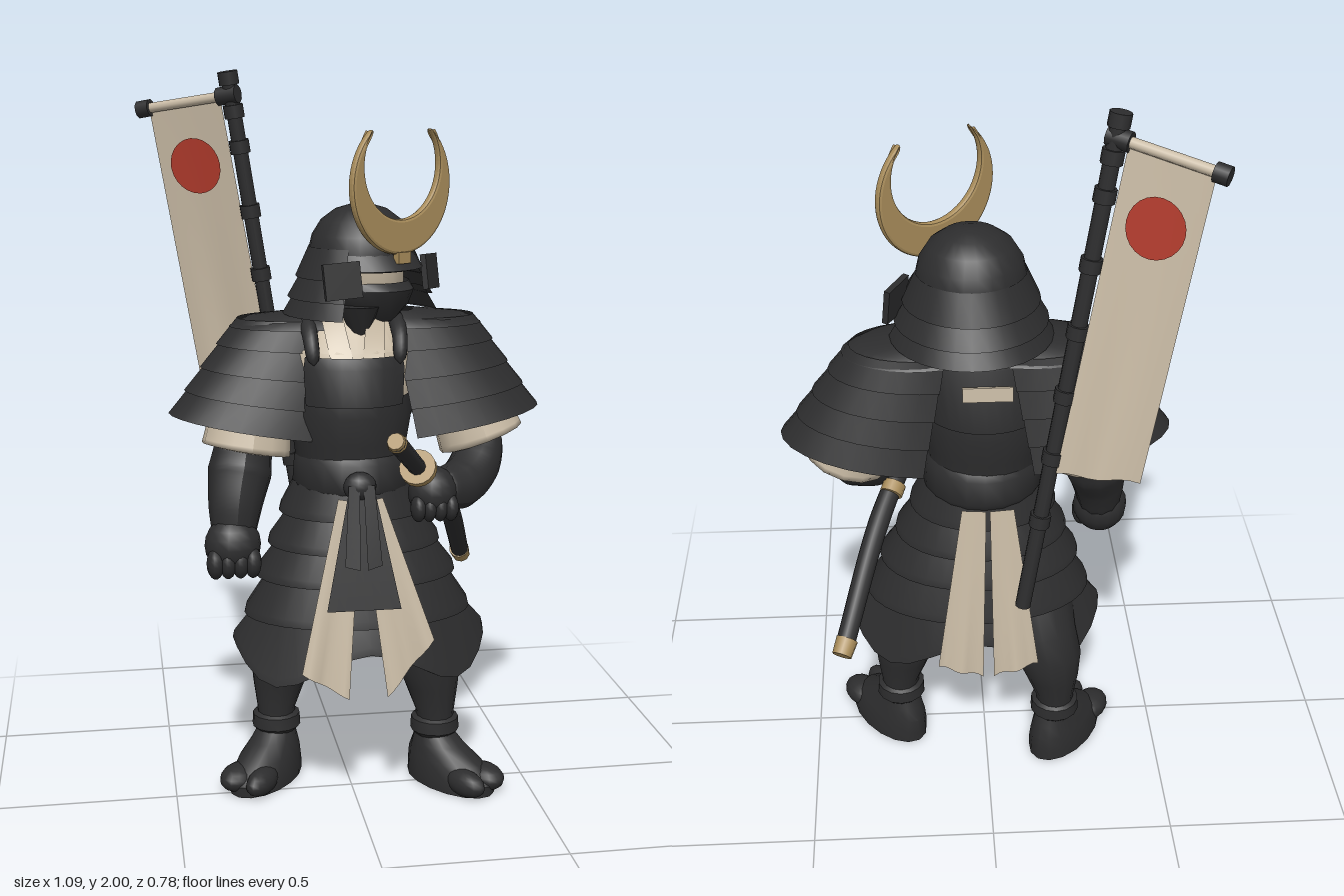
import * as THREE from 'three';
import { toCreasedNormals } from 'three/addons/utils/BufferGeometryUtils.js';
import { ParametricGeometry } from 'three/addons/geometries/ParametricGeometry.js';

const paint = (name, color) => new THREE.MeshStandardMaterial({ name, color, side: THREE.DoubleSide });
const V = (p) => new THREE.Vector3(...p);

// Elliptical loft; rings run top to bottom as [y, cx, cz, rx, rz, lift(angle)], angle 0 faces front.
function loft(rings, from = 0, to = Math.PI * 2, seg = 20) {
  const n = rings.length - 1;
  const geo = new ParametricGeometry((u, v, out) => {
    const [y, cx, cz, rx, rz, lift] = rings[Math.round((1 - v) * n)];
    const a = from + (to - from) * u;
    out.set(cx + rx * Math.sin(a), y + (lift ? lift(a) : 0), cz + rz * Math.cos(a));
  }, seg, n);
  return toCreasedNormals(geo, 0.7);
}

// Round tube through points with a radius at each, ends rounded over a fraction of the length.
function limb(points, radii, round = 0.12, sides = 12) {
  const curve = new THREE.CatmullRomCurve3(points.map(V));
  const N = 24, geo = new THREE.TubeGeometry(curve, N, 1, sides), pos = geo.attributes.position;
  const p = new THREE.Vector3(), c = new THREE.Vector3();
  for (let i = 0; i <= N; i++) {
    const u = i / N, f = u * (radii.length - 1), k = Math.min(Math.floor(f), radii.length - 2);
    const d = round ? Math.min(1, Math.min(u, 1 - u) / round) : 1;
    const r = THREE.MathUtils.lerp(radii[k], radii[k + 1], f - k) * Math.sqrt(1 - (1 - d) ** 2);
    curve.getPointAt(u, c);
    for (let j = 0; j <= sides; j++) {
      const q = i * (sides + 1) + j;
      p.fromBufferAttribute(pos, q).sub(c).multiplyScalar(r).add(c);
      pos.setXYZ(q, p.x, p.y, p.z);
    }
  }
  geo.computeVertexNormals();
  return geo;
}

// Straight rod between two points.
function rod(a, b, r0, r1 = r0, sides = 10) {
  const A = V(a), B = V(b), d = B.clone().sub(A);
  const geo = new THREE.CylinderGeometry(r1, r0, d.length(), sides);
  geo.applyQuaternion(new THREE.Quaternion().setFromUnitVectors(new THREE.Vector3(0, 1, 0), d.clone().normalize()));
  return geo.translate(...A.add(B).multiplyScalar(0.5).toArray());
}

// Cloth sheet between four corners, with folds that grow downward.
function clothPoint([tl, tr, bl, br], fold, u, v) {
  const p = V(tl).lerp(V(tr), u).lerp(V(bl).lerp(V(br), u), v);
  p.z += fold * v * v * Math.sin(u * 9);
  return p;
}
const cloth = (corners, fold = 0) =>
  new ParametricGeometry((u, v, out) => out.copy(clothPoint(corners, fold, u, 1 - v)), 8, 8);

const ball = (x, y, z, a, b = a, c = a) => new THREE.SphereGeometry(1, 14, 10).scale(a, b, c).translate(x, y, z);

export function createModel() {
  const black = paint('black armour', 0x2d2d2e), cream = paint('cream cloth', 0xcabca6);
  const gold = paint('aged gold', 0xa98d5b), red = paint('red dye', 0xb23b2c);
  const model = new THREE.Group();
  const add = (name, geo, mat, parent = model) => {
    const m = new THREE.Mesh(geo, mat);
    m.name = name;
    parent.add(m);
    return m;
  };
  const group = (name, parent = model) => {
    const g = new THREE.Group();
    g.name = name;
    parent.add(g);
    return g;
  };

  // Torso: cream shirt under a dark cuirass
  add('shirt', loft([[1.37, 0.02, -0.05, 0.06, 0.06], [1.33, 0, -0.05, 0.14, 0.1], [1.27, 0, -0.04, 0.178, 0.14],
    [1.12, 0, -0.035, 0.163, 0.145], [0.92, 0, -0.03, 0.14, 0.12]]), cream);
  add('cuirass', loft([[1.15, 0, -0.03, 0.166, 0.158], [1.1, 0, -0.03, 0.17, 0.165], [1.02, 0, -0.03, 0.157, 0.15],
    [0.93, 0.005, -0.03, 0.15, 0.14]]), black);
  add('chestPlate', loft([[1.26, 0, -0.03, 0.172, 0.145], [1.23, 0, -0.03, 0.178, 0.158], [1.13, 0, -0.03, 0.172, 0.166]], -0.9, 0.82, 8), black);
  add('backPlate', loft([[1.36, 0, -0.06, 0.12, 0.1], [1.31, 0, -0.05, 0.185, 0.135], [1.13, 0, -0.03, 0.172, 0.168]],
    Math.PI - 1.2, Math.PI + 1.2, 12), black);
  add('backPatch', new THREE.BoxGeometry(0.13, 0.04, 0.008).rotateX(0.07).translate(0, 1.25, -0.197), cream);
  for (const s of [-1, 1]) {
    add('shoulderStrap', limb([[s * 0.115, 1.24, 0.095], [s * 0.12, 1.31, 0.06], [s * 0.12, 1.35, -0.05], [s * 0.1, 1.3, -0.16]],
      [0.018, 0.022, 0.022, 0.022]), black);
    add('collar', cloth([[s * 0.035, 1.38, 0.04], [s * 0.085, 1.35, 0.03], [s * 0.01, 1.24, 0.115], [s * 0.07, 1.24, 0.11]]), cream);
  }
  add('neckScarf', new THREE.ConeGeometry(0.06, 0.12, 8).rotateX(Math.PI).translate(0.015, 1.33, 0.04), black);
  add('neck', new THREE.CylinderGeometry(0.06, 0.07, 0.14, 12).translate(0.02, 1.36, -0.05), black);

  // Belt, knot and tails
  add('belt', loft([[0.99, 0.005, -0.03, 0.15, 0.145], [0.97, 0.005, -0.03, 0.16, 0.158], [0.9, 0.005, -0.03, 0.165, 0.162],
    [0.88, 0.005, -0.03, 0.155, 0.15]]), black);
  add('beltKnot', ball(0, 0.92, 0.14, 0.045, 0.04, 0.035), black);
  for (const s of [-1, 1])
    add('beltTail', cloth([[s * 0.005, 0.93, 0.17], [s * 0.035, 0.93, 0.17], [s * 0.01, 0.71, 0.215], [s * 0.05, 0.72, 0.21]]), black);

  // Layered skirt; the hem of the last tier dips at the four diagonals
  const dip = (a) => 0.1 * Math.cos(2 * a) ** 2;
  const tiers = [[0.93, 0.82, 0.15, 0.203, 0.14, 0.168], [0.84, 0.73, 0.17, 0.24, 0.14, 0.182],
    [0.75, 0.64, 0.205, 0.28, 0.155, 0.195], [0.66, 0.53, 0.24, 0.318, 0.165, 0.203], [0.56, 0.36, 0.28, 0.357, 0.175, 0.212, dip]];
  tiers.forEach(([t, b, x0, x1, z0, z1, lift], i) => {
    const cx = 0.005 + i * 0.005, cz = -0.025;
    add('skirtTier', loft([[t, cx, cz, x0, z0], [b + 0.02, cx, cz, x1 - 0.005, z1 - 0.004, lift],
      [b, cx, cz, x1, z1, lift], [b, cx, cz, x1 - 0.035, z1 - 0.035, lift]], 0, Math.PI * 2, 32), black);
  });
  add('frontApron', cloth([[-0.035, 0.9, 0.16], [0.04, 0.9, 0.16], [-0.1, 0.6, 0.218], [0.1, 0.6, 0.218]]), black);
  add('frontCloth', cloth([[-0.06, 0.89, 0.15], [0, 0.88, 0.155], [-0.165, 0.42, 0.195], [-0.04, 0.35, 0.215]], 0.008), cream);
  add('frontCloth', cloth([[0, 0.88, 0.155], [0.06, 0.89, 0.15], [0.065, 0.35, 0.215], [0.195, 0.5, 0.195]], 0.008), cream);
  for (const s of [-1, 1])
    add('backCloth', cloth([[s * 0.005, 0.9, -0.215], [s * 0.07, 0.9, -0.208], [s * 0.015, 0.37, -0.262], [s * 0.14, 0.4, -0.25]], 0.008), cream);

  // Legs and split-toed boots
  for (const [s, x, z, turn] of [[1, 0.25, -0.04, 0.6], [-1, -0.2, -0.14, -0.62]]) {
    const leg = group(s > 0 ? 'leftLeg' : 'rightLeg');
    add('shin', loft([[0.6, s * 0.13, -0.04, 0.11, 0.11], [0.45, x - s * 0.045, z * 0.8 - 0.01, 0.1, 0.095],
      [0.36, x - s * 0.025, z * 0.9 - 0.01, 0.098, 0.092], [0.28, x - s * 0.01, z - 0.005, 0.076, 0.078],
      [0.2, x, z, 0.055, 0.058], [0.1, x, z, 0.05, 0.055]], 0, Math.PI * 2, 14), black, leg);
    add('ankleBand', loft([[0.19, x, z, 0.052, 0.052], [0.18, x, z, 0.068, 0.068], [0.145, x, z, 0.07, 0.07],
      [0.13, x, z, 0.055, 0.055]], 0, Math.PI * 2, 14), black, leg);
    const foot = group('foot', leg);
    foot.position.set(x, 0, z);
    foot.rotation.y = turn;
    add('boot', loft([[0.15, 0, -0.005, 0.048, 0.05], [0.11, 0, 0.015, 0.06, 0.085], [0.075, 0, 0.045, 0.072, 0.13],
      [0.03, 0, 0.065, 0.083, 0.152], [0, 0, 0.065, 0.083, 0.152], [0, 0, 0.065, 0, 0]], 0, Math.PI * 2, 16), black, foot);
    for (const [tx, w] of [[-s * 0.045, 0.036], [s * 0.03, 0.05]])
      add('toe', ball(tx, 0.038, 0.165, w, 0.038, 0.068), black, foot);
  }

  // Shoulder guards: tiers wrapped around the outside of each arm
  for (const s of [1, -1]) {
    const guard = group(s > 0 ? 'leftShoulderGuard' : 'rightShoulderGuard');
    guard.scale.x = s;
    guard.position.x = s > 0 ? 0 : 0.05;
    const a0 = Math.PI / 2 - 1.9, a1 = Math.PI / 2 + 1.9;
    add('shoulderCap', loft([[1.365, 0.15, -0.08, 0.03, 0.05], [1.35, 0.16, -0.08, 0.165, 0.105], [1.325, 0.17, -0.08, 0.203, 0.125]], a0, a1, 16), black, guard);
    for (let i = 0; i < 4; i++) {
      const ring = (t, d) => [1.34 - 0.295 * t, 0.17 + 0.09 * t, -0.085, 0.193 + 0.087 * t + d, 0.118 + 0.047 * t + d,
        (a) => 0.045 * t * Math.sin(a)];
      const k = i / 4, e = k + 0.25;
      add('shoulderTier', loft([ring(k - 0.03, -0.006), ring(e, 0.002), ring(e, -0.012)], a0, a1, 16), black, guard);
    }
  }

  // Arms: left rests on the sword, right hangs in a fist
  add('leftSleeve', limb([[0.16, 1.27, -0.07], [0.31, 1.16, -0.075], [0.38, 0.985, -0.055]], [0.08, 0.105, 0.122], 0.03, 14), cream);
  add('leftForearm', limb([[0.37, 1.03, -0.06], [0.365, 0.965, -0.03], [0.3, 0.9, 0.05], [0.2, 0.9, 0.13]], [0.06, 0.07, 0.068, 0.052]), black);
  add('rightSleeve', limb([[-0.14, 1.27, -0.07], [-0.25, 1.14, -0.07], [-0.288, 0.975, -0.05]], [0.08, 0.105, 0.124], 0.03, 14), cream);
  add('rightForearm', limb([[-0.285, 1.03, -0.055], [-0.3, 0.95, -0.04], [-0.32, 0.85, 0], [-0.33, 0.73, 0.03]], [0.075, 0.088, 0.072, 0.052]), black);
  for (const [name, x, y, z, k] of [['leftHand', 0.2, 0.895, 0.125, 1.05], ['rightHand', -0.332, 0.745, 0.035, 1.2]]) {
    const hand = group(name);
    hand.position.set(x, y, z);
    hand.scale.setScalar(k);
    add('palm', ball(0, 0, 0, 0.064, 0.068, 0.06), black, hand);
    for (let i = 0; i < 4; i++) add('finger', ball(-0.042 + i * 0.028, -0.035, 0.028, 0.02, 0.036, 0.034), black, hand);
  }

  // Sword in its scabbard
  const sword = group('sword');
  const tip = [0.395, 0.57, -0.365], mid = [0.285, 0.805, -0.07], hilt = [0.145, 0.98, 0.2], pommel = [0.055, 1.09, 0.365];
  add('scabbard', limb([hilt, mid, tip], [0.025, 0.029, 0.026], 0), black, sword);
  add('scabbardTip', rod([0.385, 0.588, -0.343], [0.4, 0.56, -0.377], 0.03, 0.027), gold, sword);
  add('scabbardRing', rod([0.247, 0.86, -0.005], [0.259, 0.842, -0.03], 0.032), gold, sword);
  add('handle', rod(hilt, pommel, 0.023, 0.025), black, sword);
  add('pommel', rod([0.059, 1.085, 0.357], [0.051, 1.095, 0.373], 0.027, 0.022), gold, sword);
  add('guard', rod([0.149, 0.974, 0.192], [0.141, 0.986, 0.208], 0.049, 0.049, 16), gold, sword);

  // Head turned toward the left
  const head = group('head');
  head.position.set(0.035, 0, -0.06);
  head.rotation.y = 0.61;
  add('face', loft([[1.54, 0, 0.01, 0.105, 0.112], [1.4, 0, 0.01, 0.105, 0.112], [1.34, 0, 0.01, 0.06, 0.07]]), cream, head);
  add('faceMask', loft([[1.45, 0, 0.01, 0.12, 0.125], [1.43, 0, 0.01, 0.12, 0.15], [1.39, 0, 0.01, 0.105, 0.135],
    [1.345, 0, 0.01, 0.06, 0.1]], -1.7, 1.7, 12), black, head);
  add('helmetDome', new THREE.LatheGeometry([[0.147, 1.49], [0.142, 1.53], [0.133, 1.57], [0.108, 1.61], [0.07, 1.638], [0.03, 1.65], [0, 1.652]]
    .map((p) => new THREE.Vector2(...p)), 24), black, head);
  add('helmetVisor', loft([[1.53, 0, 0, 0.14, 0.138], [1.485, 0, 0, 0.16, 0.172], [1.48, 0, 0, 0.145, 0.15]], -1.2, 1.2, 12), black, head);
  for (const [t, b, r0, r1] of [[1.54, 1.46, 0.142, 0.178], [1.475, 1.405, 0.16, 0.2], [1.425, 1.36, 0.175, 0.213]])
    add('neckGuardTier', loft([[t, 0, 0, r0, r0], [b, 0, 0, r1, r1], [b, 0, 0, r1 - 0.015, r1 - 0.015]], 1, Math.PI * 2 - 1, 20), black, head);
  for (const s of [-1, 1]) {
    const flap = add('sideFlap', new THREE.BoxGeometry(0.1, 0.095, 0.016), black, head);
    flap.position.set(s * 0.165, 1.465, 0.1);
    flap.rotation.set(-0.15, s * 0.45, 0);
  }

  // Crescent crest
  const rad = Math.PI / 180, crescent = new THREE.Shape();
  crescent.absarc(0, 1.706, 0.178, 128 * rad, 412 * rad, false);
  crescent.absarc(0, 1.757, 0.141, 39 * rad, 141 * rad, true);
  add('crest', new THREE.ExtrudeGeometry(crescent, { depth: 0.008, bevelEnabled: true, bevelSize: 0.008, bevelThickness: 0.008, bevelOffset: -0.006, bevelSegments: 2, curveSegments: 32 })
    .translate(0, 0, 0.143), gold, head);
  add('crestMount', new THREE.BoxGeometry(0.045, 0.03, 0.02).translate(0, 1.518, 0.155), gold, head);

  // Banner on a jointed pole
  const banner = group('banner');
  const top = [-0.305, 1.985, -0.2], foot = [-0.09, 0.64, -0.288];
  add('pole', rod(foot, top, 0.021), black, banner);
  const at = (t) => V(top).lerp(V(foot), t).toArray();
  for (const t of [0.005, 0.07, 0.14, 0.27, 0.4, 0.53, 0.66, 0.8])
    add('poleJoint', rod(at(t + 0.013), at(t - 0.013), 0.028), black, banner);
  add('crossbar', rod([-0.29, 1.935, -0.195], [-0.53, 1.895, -0.345], 0.014), cream, banner);
  add('crossbarCap', rod([-0.508, 1.899, -0.331], [-0.54, 1.893, -0.35], 0.024), black, banner);
  add('crossbarMount', rod([-0.28, 1.937, -0.19], [-0.33, 1.929, -0.22], 0.025), black, banner);
  const flag = [[-0.512, 1.895, -0.335], [-0.325, 1.925, -0.218], [-0.375, 1.08, -0.37], [-0.17, 1.06, -0.285]];
  add('flag', cloth(flag, 0.008), cream, banner);
  for (const s of [-1, 1])
    add('flagDisc', new ParametricGeometry((u, v, out) => {
      const a = u * Math.PI * 2;
      out.copy(clothPoint(flag, 0.008, 0.5 + 0.34 * v * Math.cos(a), 0.2 + 0.09 * v * Math.sin(a)));
      out.add(V([-0.5, 0, 0.86]).multiplyScalar(s * 0.005));
    }, 24, 4), red, banner);

  return model;
}
